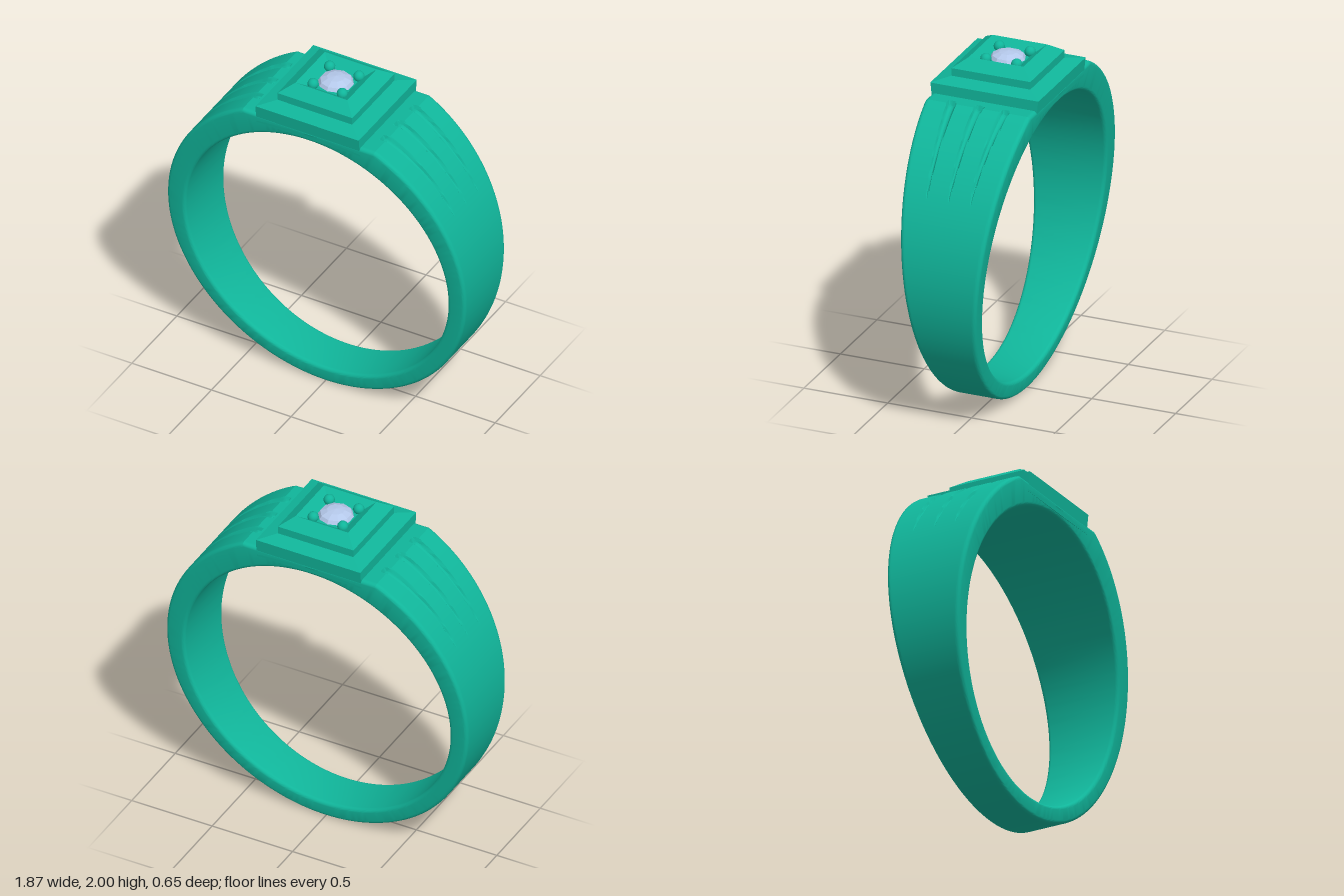
import * as THREE from 'three';
import { toCreasedNormals } from 'three/addons/utils/BufferGeometryUtils.js';

const halfWidth = (y) => 0.125 + 0.104 * y; // band widens towards the top

// Depth of the three tapering flutes on each shoulder
function fluteDepth(x, y, z) {
  const s = (Math.abs(x) - 0.395) / 0.42;
  if (y < 1 || s < 0 || s >= 1) return 0;
  const w = 0.026 * Math.pow(1 - s, 0.6);
  let depth = 0;
  for (const k of [-1, 0, 1]) {
    const d = (z - k * (0.16 - 0.03 * s)) / w;
    if (Math.abs(d) < 1) depth = 0.03 * Math.sqrt((1 - s) * (1 - d * d));
  }
  return depth;
}

// Closed cross-section: [depth below outer face, depth above inner face or null, z side, z inset]
function bandProfile() {
  const rows = [], b = 0.022, across = 96, steps = 5;
  const corner = (i) => (i / steps) * Math.PI / 2;
  for (let i = 0; i <= across; i++) rows.push({ out: 0, f: -1 + 2 * i / across, inset: b, flute: true });
  for (let i = 1; i <= steps; i++) rows.push({ out: b * (1 - Math.cos(corner(i))), f: 1, inset: b * (1 - Math.sin(corner(i))) });
  for (let i = steps; i >= 0; i--) rows.push({ inn: b * (1 - Math.cos(corner(i))), f: 1, inset: b * (1 - Math.sin(corner(i))) });
  for (let i = 0; i <= steps; i++) rows.push({ inn: b * (1 - Math.cos(corner(i))), f: -1, inset: b * (1 - Math.sin(corner(i))) });
  for (let i = steps; i >= 1; i--) rows.push({ out: b * (1 - Math.cos(corner(i))), f: -1, inset: b * (1 - Math.sin(corner(i))) });
  return rows;
}

function bandGeometry() {
  const rows = bandProfile(), n = rows.length, turns = 288;
  const pos = [], index = [];
  for (let i = 0; i < turns; i++) {
    const t = (i / turns) * Math.PI * 2, c = Math.cos(t), s = Math.sin(t);
    const outer = new THREE.Vector2(0.935 * c, Math.min(1.82, 0.96 + 0.96 * s));
    const inner = new THREE.Vector2(0.8225 * c, 0.9225 + 0.8225 * s);
    const thick = outer.distanceTo(inner);
    rows.forEach((r, j) => {
      const base = r.inn === undefined ? outer : inner;
      const z = r.f * (halfWidth(base.y) - r.inset);
      const depth = r.inn === undefined
        ? r.out + (r.flute ? fluteDepth(outer.x, outer.y, z) : 0)
        : thick - r.inn;
      const p = outer.clone().lerp(inner, depth / thick);
      pos.push(p.x, p.y, z);
      const a = i * n + j, d = i * n + (j + 1) % n;
      const b = ((i + 1) % turns) * n + j, e = ((i + 1) % turns) * n + (j + 1) % n;
      index.push(a, b, e, a, e, d);
    });
  }
  const g = new THREE.BufferGeometry();
  g.setAttribute('position', new THREE.Float32BufferAttribute(pos, 3));
  g.setIndex(index);
  return toCreasedNormals(g, 0.4);
}

// Square stepped solid from [half side, height] pairs
function squareTiers(points) {
  const pts = points.map(([h, y]) => new THREE.Vector2(h * Math.SQRT2, y));
  return new THREE.LatheGeometry(pts, 4, Math.PI / 4);
}

export function createModel() {
  const group = new THREE.Group();
  const metal = new THREE.MeshStandardMaterial({ color: 0x10b59a });
  const metalFlat = new THREE.MeshStandardMaterial({ color: 0x10b59a, flatShading: true });
  const stone = new THREE.MeshStandardMaterial({ color: 0xb4c8ea, flatShading: true });
  const add = (name, geometry, material) => {
    const mesh = new THREE.Mesh(geometry, material);
    mesh.name = name;
    group.add(mesh);
    return mesh;
  };

  add('band', bandGeometry(), metal);

  // Platform block, its front and back continuing the taper of the band
  const block = new THREE.BoxGeometry(0.65, 0.115, 0.64);
  block.translate(0, 1.8225, 0);
  const p = block.attributes.position;
  for (let i = 0; i < p.count; i++) p.setZ(i, Math.sign(p.getZ(i)) * (halfWidth(p.getY(i)) + 0.001));
  add('platform', block, metalFlat);

  // Stepped setting with a sunken seat for the stone
  add('setting', squareTiers([
    [0.323, 1.88], [0.235, 1.9], [0.235, 1.945], [0.163, 1.995], [0.1, 1.95], [0, 1.95],
  ]), metalFlat);

  // Faceted round stone
  const gem = [[0, 1.9], [0.1, 1.955], [0.088, 1.975], [0.05, 1.992], [0, 1.998]];
  add('stone', new THREE.LatheGeometry(gem.map(([r, y]) => new THREE.Vector2(r, y)), 10), stone);

  // Bead prongs at the four corners
  const bead = new THREE.SphereGeometry(0.031, 20, 14);
  for (const x of [-1, 1]) for (const z of [-1, 1]) {
    add('prong', bead, metal).position.set(x * 0.092, 1.969, z * 0.092);
  }
  return group;
}
